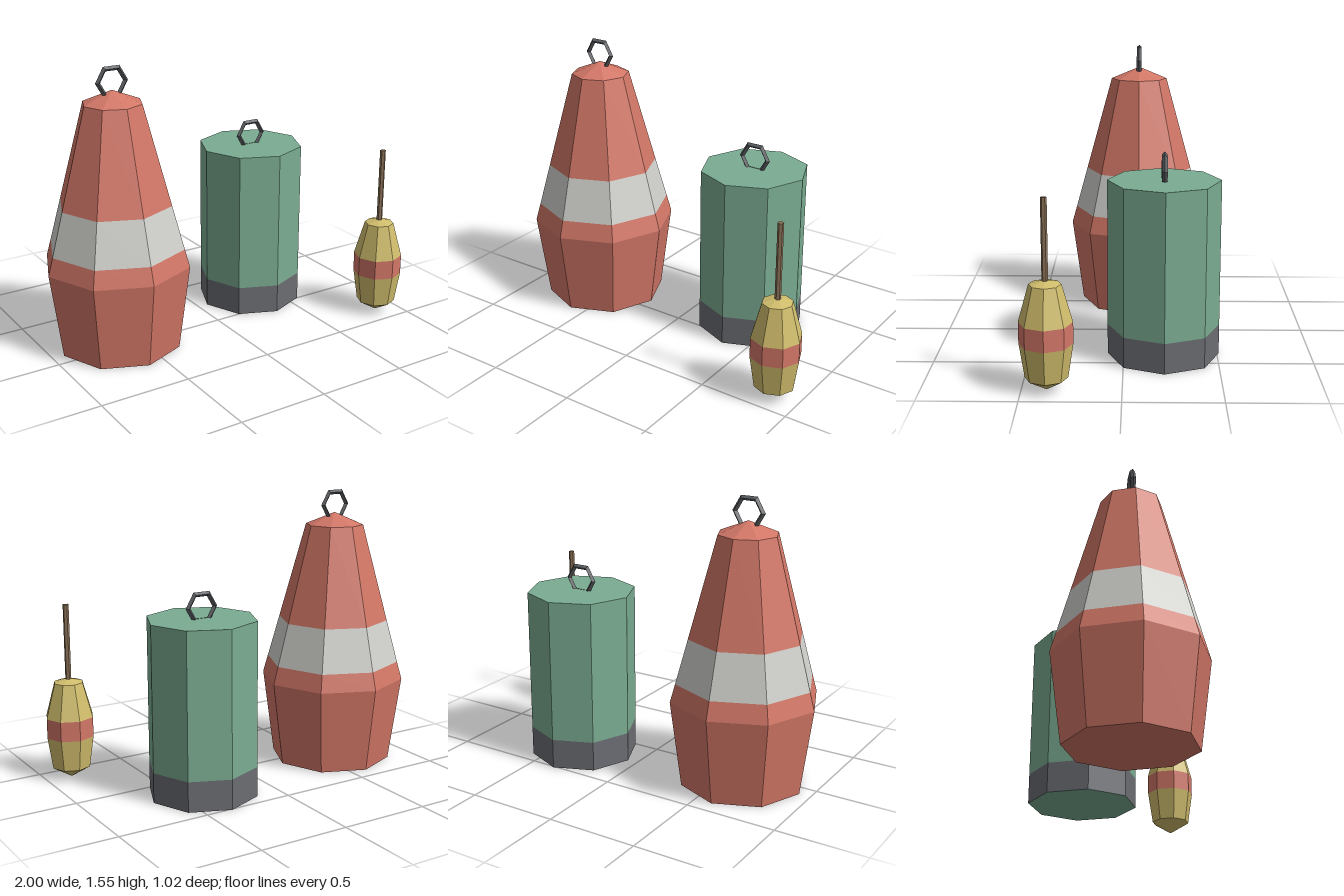
import * as THREE from 'three';

const paint = (name, color) => {
  const m = new THREE.MeshStandardMaterial({ color });
  m.name = name;
  return m;
};

// Faceted normals for the low-poly look
function faceted(geometry) {
  const g = geometry.index ? geometry.toNonIndexed() : geometry;
  g.computeVertexNormals();
  return g;
}

function addMesh(parent, name, geometry, material) {
  const mesh = new THREE.Mesh(faceted(geometry), material);
  mesh.name = name;
  parent.add(mesh);
  return mesh;
}

// Eight-sided turned section; profile is [radius, height] from bottom to top
const turned = (profile) =>
  new THREE.LatheGeometry(profile.map(([r, y]) => new THREE.Vector2(r, y)), 8);

// Hexagonal lifting ring with a diamond cross-section
function addRing(parent, y, material) {
  addMesh(parent, 'liftingRing', new THREE.TorusGeometry(0.08, 0.0145, 4, 6), material).position.y = y;
}

function addBuoy(parent, name, x, z) {
  const group = new THREE.Group();
  group.name = name;
  group.position.set(x, 0, z);
  parent.add(group);
  return group;
}

export function createModel() {
  const red = paint('buoyRed', 0xd27767);
  const white = paint('bandWhite', 0xd0d0cc);
  const green = paint('buoyGreen', 0x7bac92);
  const grey = paint('baseGrey', 0x6b6d72);
  const yellow = paint('floatYellow', 0xd0bd6c);
  const brown = paint('poleBrown', 0x8d7358);
  const iron = paint('ringIron', 0x5b5e62);

  const model = new THREE.Group();
  model.name = 'buoySet';

  // Tall tapered buoy with a painted band
  const tall = addBuoy(model, 'taperedBuoy', -0.595, -0.077);
  addMesh(tall, 'lowerHull', turned([[0, 0], [0.34, 0], [0.405, 0.48], [0.377, 0.58]]), red);
  addMesh(tall, 'whiteBand', turned([[0.377, 0.58], [0.311, 0.82]]), white);
  addMesh(tall, 'upperHull', turned([[0.311, 0.82], [0.162, 1.363], [0, 1.43]]), red);
  addRing(tall, 1.473, iron);

  // Straight drum buoy; the bottom disc keeps the body colour
  const drum = addBuoy(model, 'drumBuoy', 0.357, -0.212);
  addMesh(drum, 'bottomDisc', turned([[0, 0], [0.298, 0]]), green);
  addMesh(drum, 'greyBase', turned([[0.298, 0], [0.298, 0.165]]), grey);
  addMesh(drum, 'drumBody', turned([[0.298, 0.165], [0.298, 0.955], [0, 0.955]]), green);
  addRing(drum, 1.013, iron);

  // Small float on a stick
  const float = addBuoy(model, 'stickFloat', 0.86, 0.373);
  addMesh(float, 'lowerFloat', turned([[0, 0.005], [0.108, 0.07], [0.135, 0.247]]), yellow);
  addMesh(float, 'redBand', turned([[0.135, 0.247], [0.135, 0.357]]), red);
  addMesh(float, 'upperFloat', turned([[0.135, 0.357], [0.081, 0.55], [0, 0.572]]), yellow);
  addMesh(float, 'stick', new THREE.CylinderGeometry(0.016, 0.016, 0.44, 6), brown).position.y = 0.762;

  return model;
}
